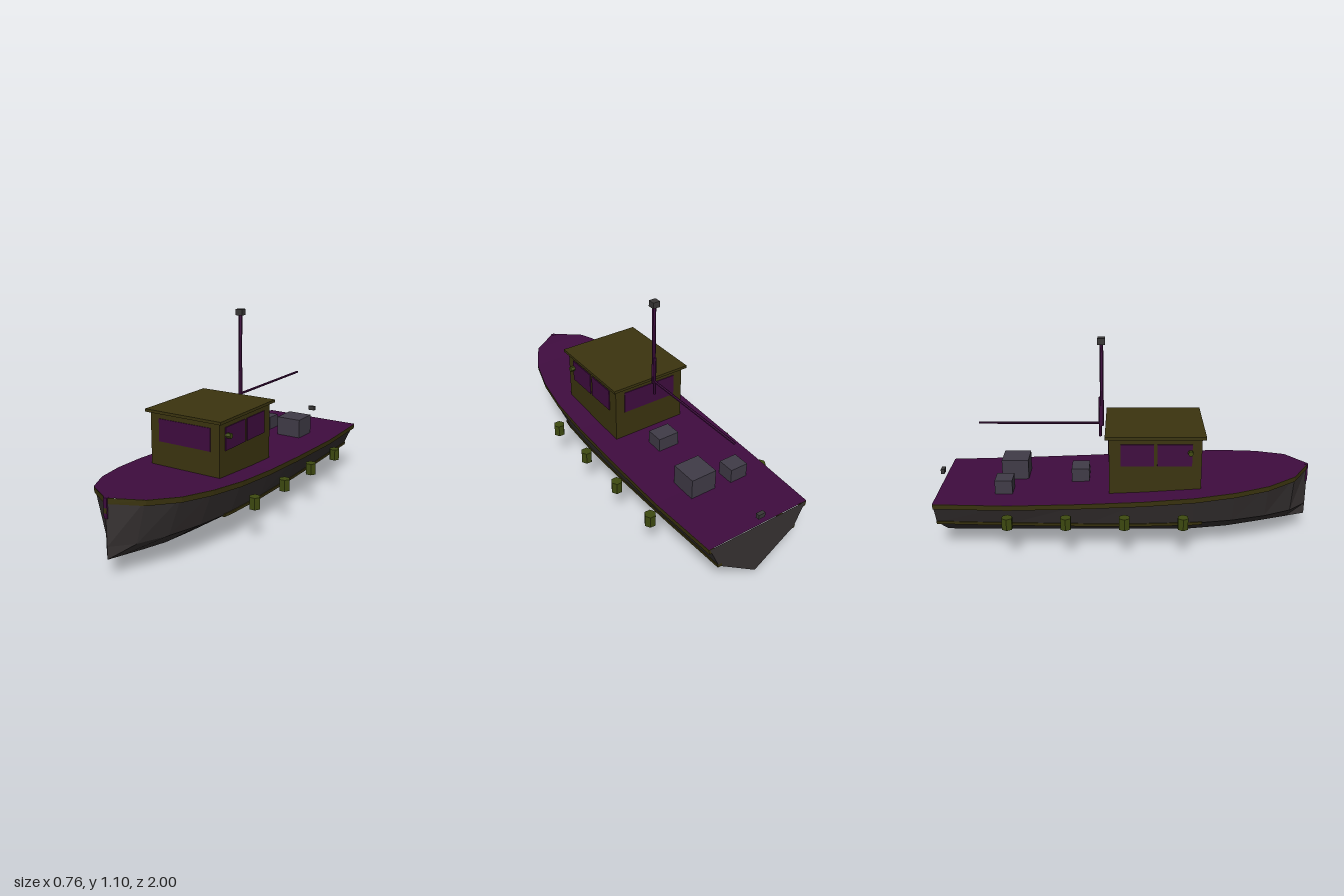
import * as THREE from 'three';

export function createModel() {
  const boat = new THREE.Group();
  boat.name = 'workBoat';

  const mat = (name, color) => {
    const m = new THREE.MeshStandardMaterial({ color, flatShading: true });
    m.name = name;
    return m;
  };
  const purple = mat('deckPurple', 0x3f0c3f);
  const olive = mat('trimOlive', 0x3b340f);
  const grey = mat('hullGrey', 0x373232);
  const green = mat('fenderGreen', 0x3e4a10);
  const crateGrey = mat('crateGrey', 0x403b47);
  const lampGrey = mat('lampGrey', 0x393737);

  const add = (name, geometry, material, x = 0, y = 0, z = 0) => {
    const mesh = new THREE.Mesh(geometry, material);
    mesh.name = name;
    mesh.position.set(x, y, z);
    boat.add(mesh);
    return mesh;
  };
  // box given by its extents
  const box = (name, material, x0, x1, y0, y1, z0, z1) =>
    add(name, new THREE.BoxGeometry(x1 - x0, y1 - y0, z1 - z0), material,
      (x0 + x1) / 2, (y0 + y1) / 2, (z0 + z1) / 2);

  // skin between successive cross-sections, with optional flat caps
  const loft = (rings, { closed = false, capStart = false, capEnd = false } = {}) => {
    const pos = [];
    const tri = (a, b, c) => pos.push(...a, ...b, ...c);
    const n = rings[0].length;
    for (let i = 0; i < rings.length - 1; i++) {
      for (let j = 0; j < (closed ? n : n - 1); j++) {
        const k = (j + 1) % n;
        const [a, b, c, d] = [rings[i][j], rings[i][k], rings[i + 1][k], rings[i + 1][j]];
        tri(a, d, c);
        tri(a, c, b);
      }
    }
    const last = rings[rings.length - 1];
    for (let j = 1; j < n - 1; j++) {
      if (capStart) tri(rings[0][0], rings[0][j], rings[0][j + 1]);
      if (capEnd) tri(last[0], last[j + 1], last[j]);
    }
    const g = new THREE.BufferGeometry();
    g.setAttribute('position', new THREE.Float32BufferAttribute(pos, 3));
    g.computeVertexNormals();
    return g;
  };

  // hull stations: z, deck half width, deck height, chine half width, keel height
  const stations = [
    [-0.99, 0.30, 0.298, 0.235, 0],
    [-0.60, 0.32, 0.300, 0.252, 0],
    [-0.20, 0.326, 0.313, 0.262, 0],
    [0.10, 0.326, 0.326, 0.262, 0],
    [0.36, 0.319, 0.343, 0.248, 0],
    [0.57, 0.29, 0.359, 0.212, 0.02],
    [0.75, 0.24, 0.374, 0.16, 0.052],
    [0.90, 0.155, 0.39, 0.092, 0.081],
    [0.998, 0.002, 0.40, 0.002, 0.10],
  ];
  const chineY = 0.163;

  const hullRings = stations.map(([z, w, y, c, k]) => {
    const s = Math.max(w - 0.006, 0.001);
    return [[s, y - 0.004, z], [c, chineY, z], [0, k, z], [-c, chineY, z], [-s, y - 0.004, z]];
  });
  add('hull', loft(hullRings, { capStart: true, capEnd: true }), grey);
  add('deck', loft(stations.map(([z, w, y]) => [[-w, y, z], [w, y, z]])), purple);

  // gunwale and chine rails, one on each side
  const chineStations = [...stations.slice(0, 5), [0.41, 0, 0, 0.24, 0]];
  for (const side of [1, -1]) {
    const ring = (pts, z) => {
      const r = pts.map(([x, y]) => [side * x, y, z]);
      return side > 0 ? r : r.reverse();
    };
    const caps = { closed: true, capStart: true, capEnd: true };
    add('gunwale', loft(stations.map(([z, w, y]) => {
      const inner = Math.max(w - 0.03, 0);
      return ring([[inner, y - 0.002], [w, y - 0.002], [Math.max(w - 0.003, 0.002), y - 0.03], [inner, y - 0.03]], z);
    }), caps), olive);
    add('chineRail', loft(chineStations.map(([z, , , c]) =>
      ring([[c - 0.02, 0.171], [c + 0.008, 0.171], [c + 0.005, 0.154], [c - 0.02, 0.154]], z)), caps), olive);
  }

  // stem
  box('stemHead', purple, -0.01, 0.01, 0.30, 0.399, 0.98, 0.999);
  box('stemFitting', olive, -0.009, 0.009, 0.325, 0.35, 0.985, 1.0);

  // wheelhouse with its windows
  box('cabin', olive, -0.21, 0.21, 0.30, 0.626, -0.08, 0.40);
  box('cabinRoof', olive, -0.23, 0.23, 0.625, 0.64, -0.10, 0.42);
  box('frontWindow', purple, -0.157, 0.157, 0.475, 0.595, 0.398, 0.404);
  box('rearWindow', purple, -0.157, 0.157, 0.475, 0.595, -0.084, -0.078);
  for (const side of [1, -1]) {
    for (const [z0, z1] of [[0.17, 0.35], [-0.02, 0.152]]) {
      const w = box('sideWindow', purple, -0.003, 0.003, 0.475, 0.595, z0, z1);
      w.position.x = side * 0.212;
    }
    const lamp = add('sideLamp', new THREE.CylinderGeometry(0.014, 0.014, 0.03, 6), green, side * 0.225, 0.553, 0.34);
    lamp.rotation.z = Math.PI / 2;
  }

  // mast, boom and masthead lamp
  add('mast', new THREE.CylinderGeometry(0.01, 0.01, 0.46, 6), purple, 0, 0.85, -0.119);
  add('mastFoot', new THREE.CylinderGeometry(0.008, 0.008, 0.22, 6), purple, 0, 0.67, -0.129);
  const boom = add('boom', new THREE.CylinderGeometry(0.007, 0.007, 0.65, 6), purple, 0, 0.636, -0.45);
  boom.rotation.x = Math.PI / 2;
  box('mastLamp', lampGrey, -0.02, 0.02, 1.068, 1.10, -0.139, -0.10);
  box('sternLamp', lampGrey, -0.02, 0.02, 0.345, 0.37, -1.0, -0.98);

  // crates on the aft deck
  box('smallCrate', crateGrey, -0.18, -0.08, 0.29, 0.376, -0.682, -0.59);
  box('largeCrate', crateGrey, 0.01, 0.155, 0.29, 0.41, -0.67, -0.525);
  box('hatchCrate', crateGrey, -0.045, 0.075, 0.30, 0.385, -0.285, -0.19);

  // hexagonal fenders along both sides
  for (const side of [1, -1]) {
    for (const z of [0.3, 0, -0.3, -0.6]) {
      const fender = add('fender', new THREE.CylinderGeometry(0.03, 0.03, 0.063, 6), green, side * 0.352, 0.219, z);
      fender.rotation.y = Math.PI / 6;
    }
  }

  return boat;
}
